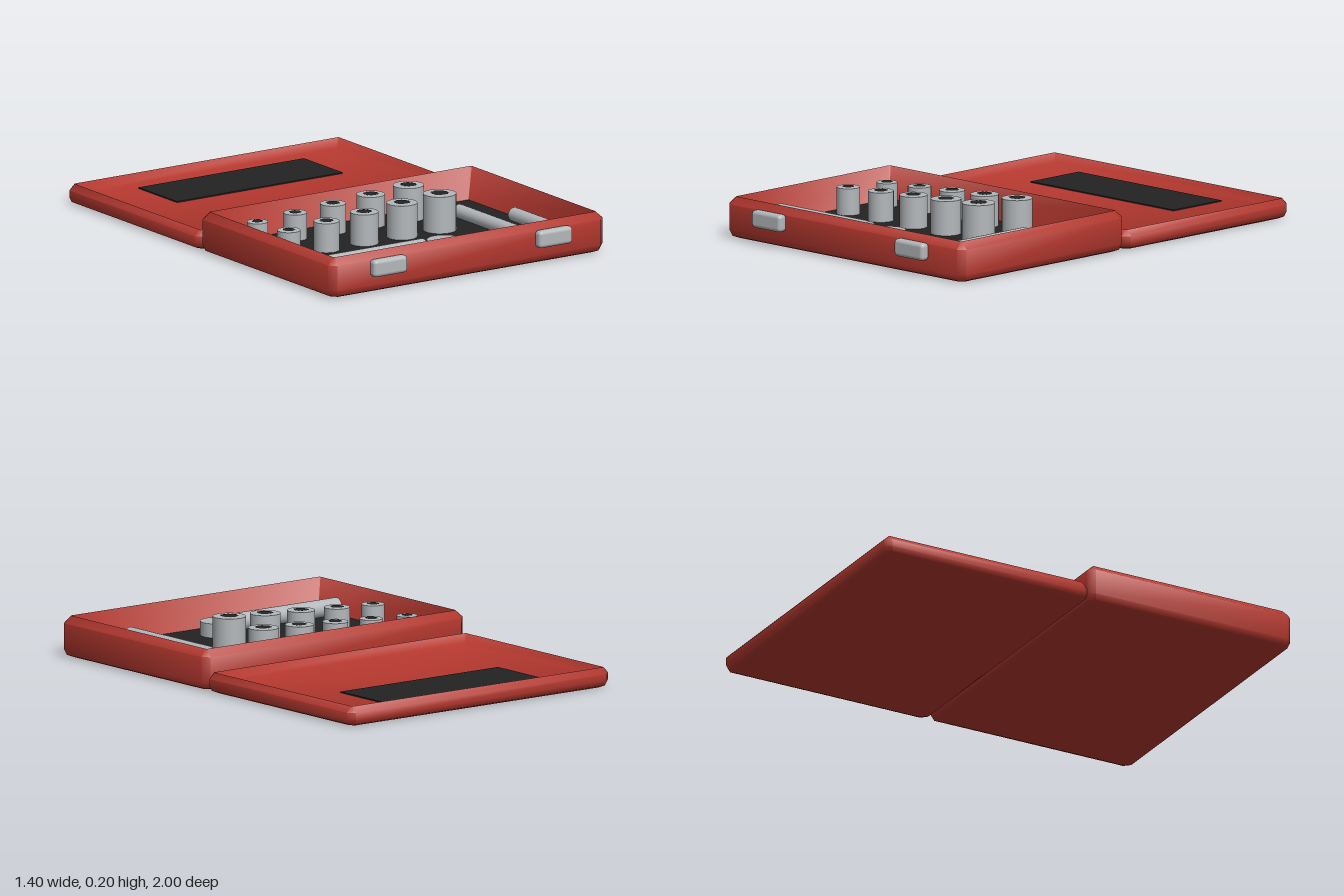
import * as THREE from 'three';
import { toCreasedNormals } from 'three/addons/utils/BufferGeometryUtils.js';
import { RoundedBoxGeometry } from 'three/addons/geometries/RoundedBoxGeometry.js';

const paint = (name, color) => {
  const m = new THREE.MeshStandardMaterial({ color });
  m.name = name;
  return m;
};

// Tray lofted from chamfered rectangles: each section is [inset, y, corner chamfer]
function trayGeometry(width, depth, sections) {
  const pos = [], index = [];
  for (const [inset, y, c] of sections) {
    const w = width / 2 - inset, d = depth / 2 - inset;
    for (const [x, z] of [[w, -d + c], [w, d - c], [w - c, d], [-w + c, d],
      [-w, d - c], [-w, -d + c], [-w + c, -d], [w - c, -d]]) pos.push(x, y, z);
  }
  const n = sections.length;
  pos.push(0, sections[0][1], 0, 0, sections[n - 1][1], 0);
  const bottom = n * 8, floor = bottom + 1, last = (n - 1) * 8;
  for (let j = 0; j < 8; j++) {
    const k = (j + 1) % 8;
    for (let i = 0; i < n - 1; i++) {
      const a = i * 8 + j, b = i * 8 + k;
      index.push(a, a + 8, b, b, a + 8, b + 8);
    }
    index.push(bottom, j, k, floor, last + k, last + j);
  }
  const g = new THREE.BufferGeometry();
  g.setAttribute('position', new THREE.Float32BufferAttribute(pos, 3));
  g.setIndex(index);
  return toCreasedNormals(g, 0.87);
}

// Twelve-point drive opening
function driveShape(r) {
  const s = new THREE.Shape();
  for (let i = 0; i < 24; i++) {
    const a = (i / 24) * Math.PI * 2, q = i % 2 ? r * 0.9 : r * 1.06;
    if (i) s.lineTo(q * Math.cos(a), q * Math.sin(a));
    else s.moveTo(q, 0);
  }
  s.closePath();
  return s;
}

export function createModel() {
  const red = paint('red case', 0xb4382f);
  const steel = paint('steel', 0xb4b8bb);
  const dark = paint('dark foam', 0x222222);
  const group = new THREE.Group();
  const add = (name, geometry, material, x, y, z, parent = group) => {
    const m = new THREE.Mesh(geometry, material);
    m.name = name;
    m.position.set(x, y, z);
    parent.add(m);
    return m;
  };
  const FLOOR = 0.045;

  // Case base and opened lid
  add('caseBase', trayGeometry(1.4, 0.98, [
    [0.035, 0, 0.02], [0.01, 0.01, 0.025], [0, 0.035, 0.028], [0, 0.145, 0.028],
    [0.032, 0.175, 0.004], [0.08, 0.04, 0.002],
  ]), red, 0, 0, 0.47);
  add('lid', trayGeometry(1.4, 0.98, [
    [0.03, 0, 0.02], [0.008, 0.01, 0.025], [0, 0.03, 0.028], [0, 0.06, 0.028],
    [0.025, 0.085, 0.004], [0.055, 0.05, 0.002],
  ]), red, 0, 0, -0.51);

  // Foam insert and lid panel
  add('foamInsert', new THREE.BoxGeometry(1.24, 0.008, 0.82), dark, 0, FLOOR - 0.004, 0.47);
  add('lidPanel', new THREE.BoxGeometry(0.845, 0.006, 0.285), dark, 0, 0.052, -0.7225);

  // Latches
  for (const x of [-0.423, 0.42]) {
    add('latch', new RoundedBoxGeometry(0.172, 0.075, 0.045, 3, 0.017), steel, x, 0.1125, 0.9775);
  }

  // Two rows of sockets growing towards +x
  const rows = [
    { z: 0.167, r: 0.044, dr: 0.0053, top: 0.146, dTop: 0.011 },
    { z: 0.397, r: 0.049, dr: 0.0053, top: 0.159, dTop: 0.011 },
  ];
  for (const row of rows) {
    for (let i = 0; i < 5; i++) {
      const r = row.r + i * row.dr, top = row.top + i * row.dTop, h = top - FLOOR;
      const socket = new THREE.Group();
      socket.name = 'socket';
      socket.position.set(-0.53 + i * 0.1925, FLOOR, row.z);
      group.add(socket);
      add('socketBody', new THREE.CylinderGeometry(r, r, h, 24), steel, 0, h / 2, 0, socket);
      add('socketOpening', new THREE.ShapeGeometry(driveShape(r * 0.54)), dark, 0, h + 0.002, 0, socket)
        .rotation.x = -Math.PI / 2;
    }
  }

  // Ratchet: handle and round head
  add('ratchetHandle', new THREE.CylinderGeometry(0.0375, 0.0375, 0.525, 24), steel, -0.3375, 0.088, 0.73)
    .rotation.z = Math.PI / 2;
  add('ratchetHead', new THREE.CylinderGeometry(0.076, 0.076, 0.06, 32), steel, 0.035, 0.075, 0.73);

  // Extension bars
  for (const [x, z0] of [[0.412, 0.29], [0.572, 0.465]]) {
    add('extensionBar', new THREE.CylinderGeometry(0.03, 0.03, 0.85 - z0, 20), steel, x, 0.077, (0.85 + z0) / 2)
      .rotation.x = Math.PI / 2;
  }
  return group;
}
